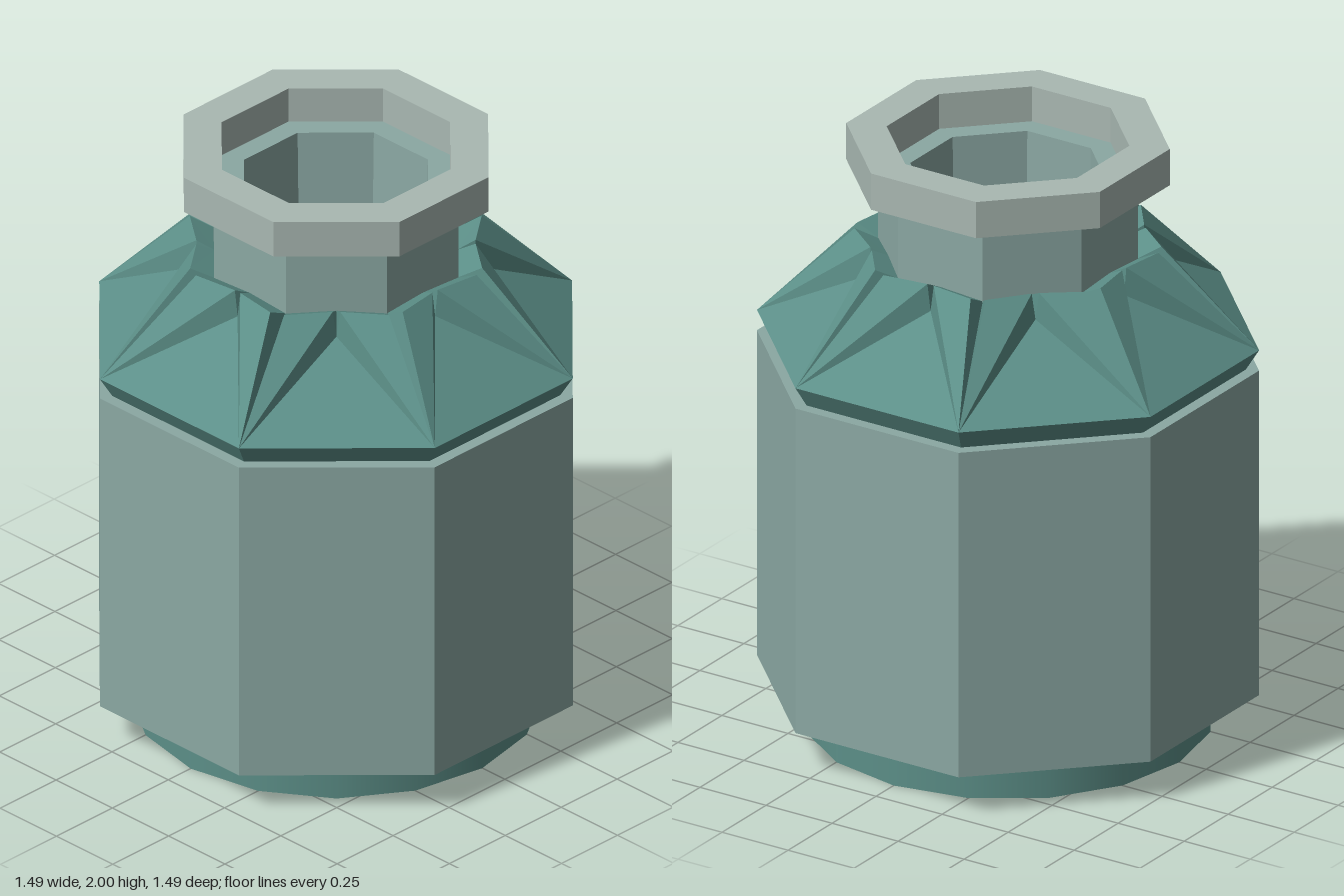
import * as THREE from 'three';

const TEAL = 0x5c8f88, SHELL = 0x8ba8a3, RIM = 0xa9b8b2, RED = 0xc04444;
const K = Math.cos(Math.PI / 8), TAN = Math.tan(Math.PI / 8);

function mesh(name, geometry, color, flat = true, side = THREE.FrontSide) {
  const m = new THREE.Mesh(geometry, new THREE.MeshStandardMaterial({ color, flatShading: flat, side }));
  m.name = name;
  return m;
}

// Octagonal solid from a profile of [half width, height], flats facing the axes
function octagon(name, profile, color) {
  const pts = profile.map(([w, y]) => new THREE.Vector2(w / K, y));
  return mesh(name, new THREE.LatheGeometry(pts, 8, Math.PI / 8), color);
}

// Closed octagonal ring
const ring = (name, outer, inner, y0, y1, color) =>
  octagon(name, [[inner, y0], [outer, y0], [outer, y1], [inner, y1], [inner, y0]], color);

// Folded cover: one side with its central groove, repeated eight times
function coverGeometry() {
  const mirror = ([x, y, z]) => [-x, y, z];
  const A = [-0.745 * TAN, 1.33, 0.745];  // outer corner
  const S = [-0.7 * TAN, 1.25, 0.7];      // tucked-in hem
  const P = [0, 1.56, 0.44];              // groove floor
  const T = [0, 1.62, 0.38];              // groove end at the neck
  const F1 = [-0.012, 1.65, 0.44];        // raised fold beside the groove
  const F0 = [-0.165, 1.65, 0.46];        // raised fold beside the corner
  const C = [-0.38 * TAN, 1.61, 0.38];    // corner notch at the neck
  const half = [[A, P, F1], [P, T, F1], [A, F1, F0], [A, F0, C], [F0, F1, T], [F0, T, C]];
  const tris = [[A, mirror(A), P], [S, mirror(S), mirror(A)], [S, mirror(A), A]];
  for (const [a, b, c] of half) tris.push([a, b, c], [mirror(a), mirror(c), mirror(b)]);

  const pos = [], v = new THREE.Vector3(), up = new THREE.Vector3(0, 1, 0);
  for (let i = 0; i < 8; i++) {
    for (const p of tris.flat()) {
      v.set(...p).applyAxisAngle(up, i * Math.PI / 4);
      pos.push(v.x, v.y, v.z);
    }
  }
  const g = new THREE.BufferGeometry();
  g.setAttribute('position', new THREE.Float32BufferAttribute(pos, 3));
  g.computeVertexNormals();
  return g;
}

export function createModel() {
  const model = new THREE.Group();
  model.name = 'jar';

  // Round foot
  const foot = mesh('foot', new THREE.CylinderGeometry(0.65, 0.65, 0.15, 16), TEAL, false);
  foot.position.y = 0.075;
  model.add(foot);

  // Body shell around a darker core
  model.add(ring('body', 0.745, 0.69, 0.14, 1.26, SHELL));
  model.add(octagon('core', [[0, 0.148], [0.695, 0.148], [0.695, 1.25], [0.3, 1.25]], TEAL));

  // Folded shoulder cover
  model.add(mesh('shoulderCover', coverGeometry(), TEAL, true, THREE.DoubleSide));

  // Neck, slightly tapered inside
  model.add(octagon('neck',
    [[0.385, 1.3], [0.385, 1.88], [0.29, 1.88], [0.275, 1.3], [0.385, 1.3]], SHELL));

  // Lip
  model.add(ring('lip', 0.48, 0.36, 1.875, 2, RIM));

  // Contents seen through the opening
  model.add(octagon('contents', [[0.28, 1.38], [0, 1.38]], RED));

  return model;
}
